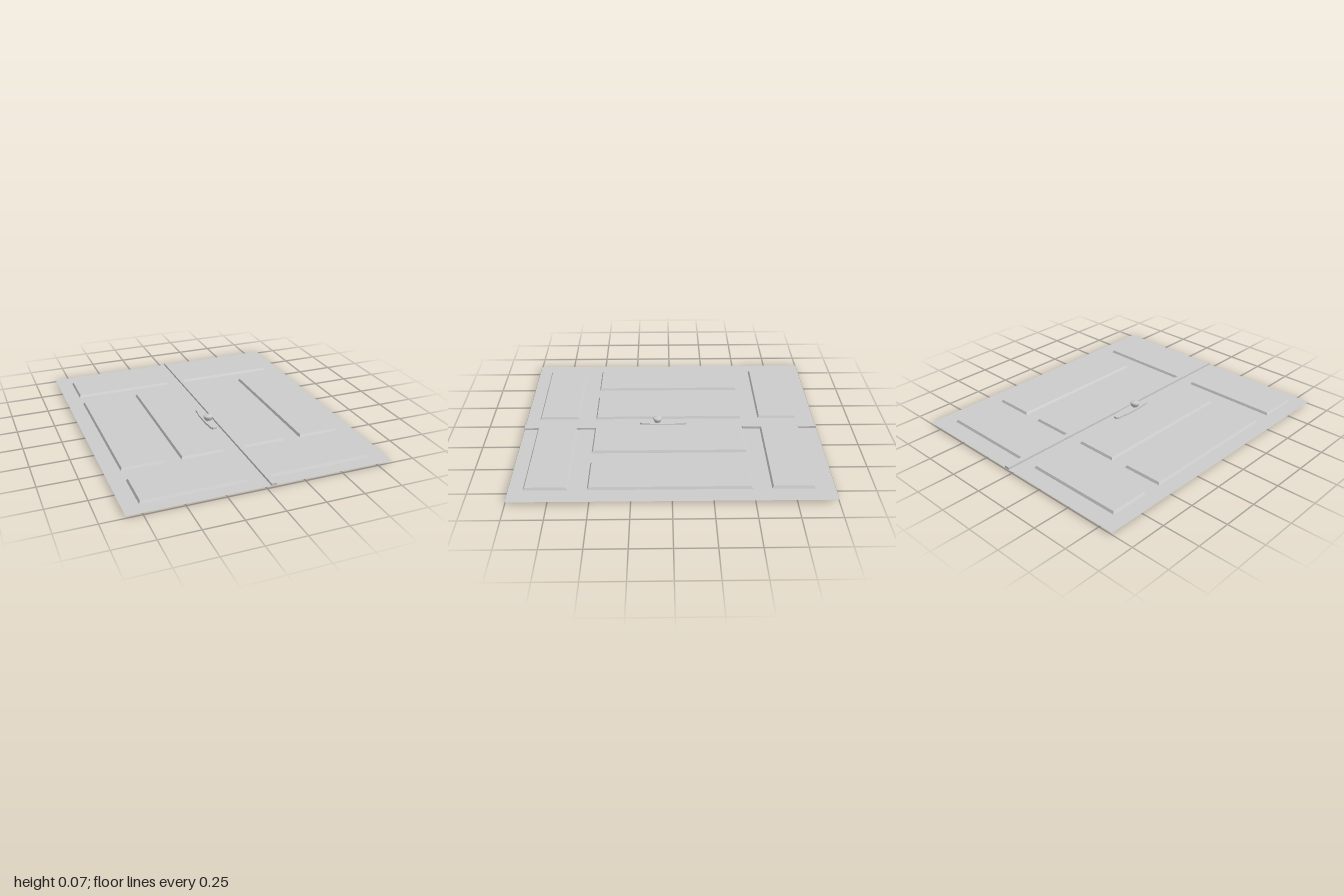
import * as THREE from 'three';

const SHEET = 0.013, TOP = 0.028, BEVEL = 0.009;
const W = 0.85, L = 1, SEAM = 0.027, STRIP = 0.062;
const material = new THREE.MeshStandardMaterial({ color: 0xcccccc, side: THREE.DoubleSide });
const smoothless = new THREE.MeshStandardMaterial({ color: 0xcccccc, flatShading: true });

// Rows of panels along z
const ROWS = [[-0.88, -0.612], [-0.495, 0.52], [0.637, 0.91]];

// Mesh from four-cornered faces, corners counter-clockwise from outside
function quadMesh(name, quads) {
  const pos = [];
  for (const [a, b, c, d] of quads) pos.push(...a, ...b, ...c, ...a, ...c, ...d);
  const geo = new THREE.BufferGeometry();
  geo.setAttribute('position', new THREE.Float32BufferAttribute(pos, 3));
  geo.computeVertexNormals();
  const mesh = new THREE.Mesh(geo, material);
  mesh.name = name;
  return mesh;
}

// Hollow raised panel with sloping sides; openLeft joins it to the seam strip
function panel(name, [x0, x1], [z0, z1], openLeft = false) {
  const ring = (i, y) => {
    const l = x0 + (openLeft ? 0 : i);
    return [[l, y, z1 - i], [x1 - i, y, z1 - i], [x1 - i, y, z0 + i], [l, y, z0 + i]];
  };
  const lo = ring(0, SHEET), hi = ring(BEVEL, TOP);
  const quads = [hi];
  for (let i = 0; i < (openLeft ? 3 : 4); i++) {
    const j = (i + 1) % 4;
    quads.push([lo[i], lo[j], hi[j], hi[i]]);
  }
  return quadMesh(name, quads);
}

// Flat sheet from an outline in x and z, with rectangular openings
function sheet(name, outline, holes) {
  const flip = ([x, z]) => new THREE.Vector2(x, -z);
  const shape = new THREE.Shape(outline.map(flip));
  for (const [[x0, x1], [z0, z1]] of holes) {
    shape.holes.push(new THREE.Path([[x0, z0], [x1, z0], [x1, z1], [x0, z1]].map(flip)));
  }
  const geo = new THREE.ShapeGeometry(shape).rotateX(-Math.PI / 2).translate(0, SHEET, 0);
  const mesh = new THREE.Mesh(geo, material);
  mesh.name = name;
  return mesh;
}

function leftDoorLeaf() {
  const leaf = new THREE.Group();
  leaf.name = 'rightLeaf';
  const full = [-0.747, -0.07], outer = [-0.747, -0.471], inner = [-0.359, -0.07];
  const cells = [[full, ROWS[0]], [outer, ROWS[1]], [inner, ROWS[1]], [full, ROWS[2]]];
  leaf.add(sheet('leafSheet', [[-W, L], [SEAM, L], [SEAM, -L], [-W, -L]], cells));
  cells.forEach(([xs, zs]) => leaf.add(panel('raisedPanel', xs, zs)));
  return leaf;
}

function stripDoorLeaf() {
  const leaf = new THREE.Group();
  leaf.name = 'leftLeaf';
  const ends = [0.737, 0.346, 0.737], outer = [0.46, 0.737];
  // Sheet outline is notched where panels run into the strip
  const outline = [[W, -L], [STRIP, -L]];
  ROWS.forEach(([z0, z1], i) => {
    outline.push([STRIP, z0], [ends[i], z0], [ends[i], z1], [STRIP, z1]);
    leaf.add(panel('raisedPanel', [STRIP, ends[i]], [z0, z1], true));
  });
  outline.push([STRIP, L], [W, L]);
  leaf.add(sheet('leafSheet', outline, [[outer, ROWS[1]]]));
  leaf.add(panel('raisedPanel', outer, ROWS[1]));

  // Overlapping seam strip: top, long side, ends, and side pieces between panels
  const wall = (x0, z0, x1, z1) => [[x0, SHEET, z0], [x1, SHEET, z1], [x1, TOP, z1], [x0, TOP, z0]];
  const quads = [
    [[SEAM, TOP, L], [STRIP, TOP, L], [STRIP, TOP, -L], [SEAM, TOP, -L]],
    wall(SEAM, -L, SEAM, L), wall(SEAM, L, STRIP, L), wall(STRIP, -L, SEAM, -L),
  ];
  const stops = [-L, ...ROWS.flat(), L];
  for (let i = 0; i < stops.length; i += 2) quads.push(wall(STRIP, stops[i + 1], STRIP, stops[i]));
  leaf.add(quadMesh('seamStrip', quads));
  return leaf;
}

function doorHandle() {
  const handle = new THREE.Group();
  handle.name = 'handle';

  // Long back plate with narrowed, clipped ends
  const half = [[0.012, -0.16], [0.024, -0.145], [0.025, -0.1], [0.031, -0.07],
    [0.031, 0.07], [0.025, 0.1], [0.024, 0.145], [0.012, 0.16]];
  const outline = [...half, ...half.map(([x, z]) => [-x, z]).reverse()];
  const shape = new THREE.Shape(outline.map(([x, z]) => new THREE.Vector2(x, z)));
  const plateGeo = new THREE.ExtrudeGeometry(shape, { depth: 0.016, bevelEnabled: false });
  const plate = new THREE.Mesh(plateGeo.rotateX(-Math.PI / 2), smoothless);
  plate.name = 'backPlate';
  plate.position.set(-0.014, 0.01, 0.05);

  // Turned knob with a short stem passing through the plate
  const profile = [[0, 0], [0.018, 0], [0.021, 0.004], [0.021, 0.03], [0.027, 0.034],
    [0.033, 0.05], [0.034, 0.058], [0.029, 0.063], [0, 0.066]];
  const knobGeo = new THREE.LatheGeometry(profile.map(([r, y]) => new THREE.Vector2(r, y)), 12);
  const knob = new THREE.Mesh(knobGeo, material);
  knob.name = 'knob';
  knob.scale.z = 0.9;
  knob.position.set(-0.014, 0, 0.09);
  handle.add(plate, knob);
  return handle;
}

export function createModel() {
  const model = new THREE.Group();
  model.name = 'doubleDoor';
  model.add(leftDoorLeaf(), stripDoorLeaf(), doorHandle());
  return model;
}
